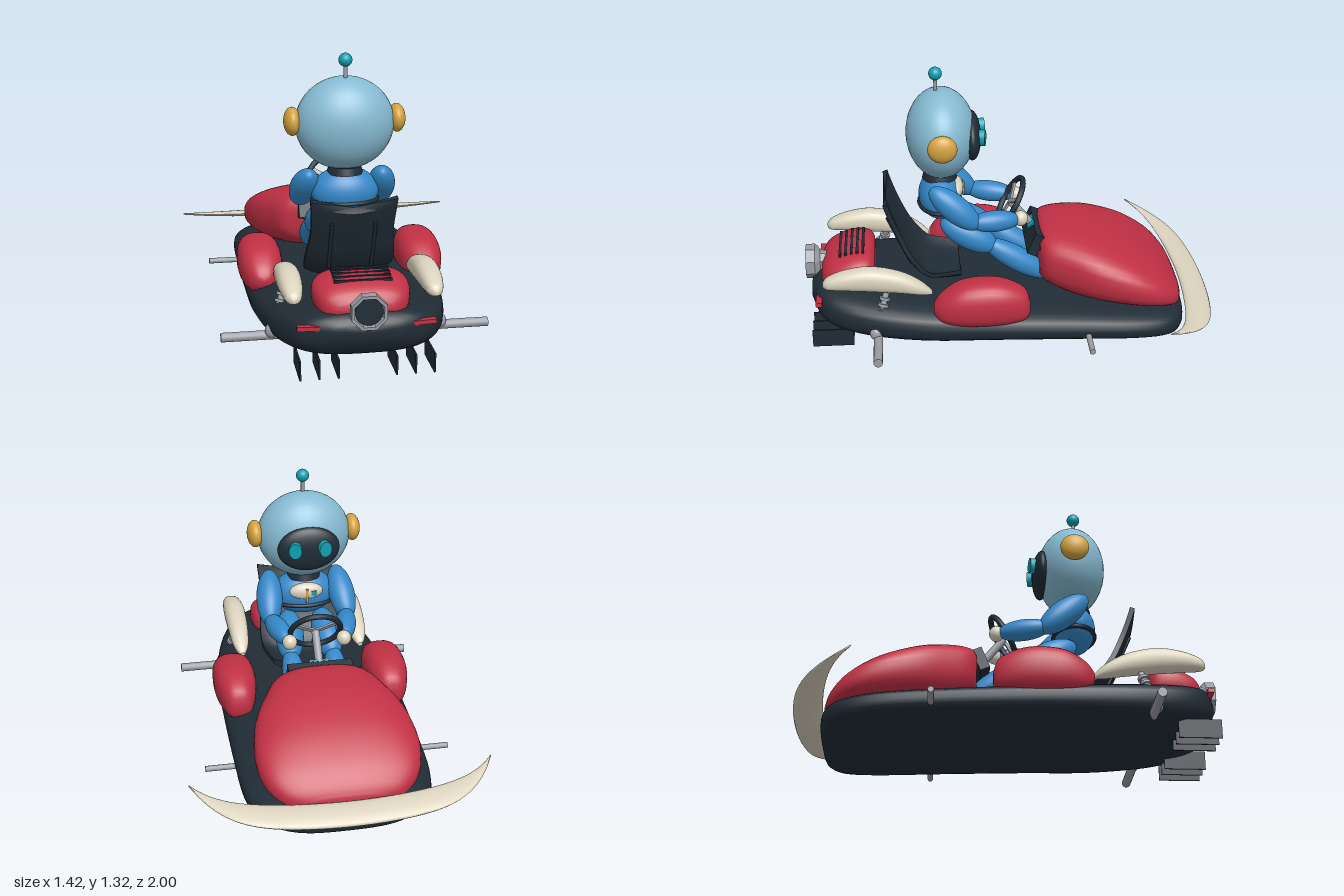
import * as THREE from 'three';
import { toCreasedNormals } from 'three/addons/utils/BufferGeometryUtils.js';

const mat = (name, color) => {
  const m = new THREE.MeshStandardMaterial({ color });
  m.name = name;
  return m;
};
const V = (x, y, z) => new THREE.Vector3(x, y, z);

// Closed skin over a row of rings, each counter-clockwise about the direction of travel
function skin(rings, crease = 0.75) {
  const n = rings[0].length, pos = [], idx = [];
  rings.forEach(r => r.forEach(p => pos.push(p.x, p.y, p.z)));
  for (let i = 0; i < rings.length - 1; i++) for (let j = 0; j < n; j++) {
    const a = i * n + j, b = i * n + (j + 1) % n;
    idx.push(a, b, a + n, b, b + n, a + n);
  }
  [0, rings.length - 1].forEach((k, end) => {
    const c = rings[k].reduce((s, p) => s.add(p), V(0, 0, 0)).divideScalar(n);
    const ci = pos.length / 3;
    pos.push(c.x, c.y, c.z);
    for (let j = 0; j < n; j++) {
      const a = k * n + j, b = k * n + (j + 1) % n;
      if (end) idx.push(ci, a, b); else idx.push(ci, b, a);
    }
  });
  const g = new THREE.BufferGeometry();
  g.setAttribute('position', new THREE.Float32BufferAttribute(pos, 3));
  g.setIndex(idx);
  return toCreasedNormals(g, crease);
}

// Smoothly interpolate rows of numbers
function resample(rows, steps) {
  const out = [];
  const at = i => rows[Math.min(Math.max(i, 0), rows.length - 1)];
  for (let i = 0; i < rows.length - 1; i++) for (let s = 0; s < steps; s++) {
    const t = s / steps;
    out.push(rows[i].map((p1, k) => {
      const p0 = at(i - 1)[k], p2 = at(i + 1)[k], p3 = at(i + 2)[k];
      const m1 = (p2 - p0) / 2, m2 = (p3 - p1) / 2;
      return p1 + m1 * t + (3 * (p2 - p1) - 2 * m1 - m2) * t * t + (2 * (p1 - p2) + m1 + m2) * t * t * t;
    }));
  }
  out.push(at(rows.length - 1));
  return out;
}

// Body along z from rows of [z, half width, bottom, top]; e sets how square the section is
function body(rows, e = 2.6, seg = 40) {
  const pw = v => Math.sign(v) * Math.pow(Math.abs(v), 2 / e);
  return skin(resample(rows, 4).map(([z, w, y0, y1]) => Array.from({ length: seg }, (_, j) => {
    const a = j / seg * Math.PI * 2;
    return V(w * pw(Math.cos(a)), (y0 + y1) / 2 + (y1 - y0) / 2 * pw(Math.sin(a)), z);
  })));
}

export function createModel() {
  const root = new THREE.Group();
  root.name = 'kartWithRobot';
  const red = mat('red', 0xc03044), dark = mat('dark', 0x202c36), cream = mat('cream', 0xdbd3be),
    pale = mat('paleBlue', 0x86bad2), blue = mat('blue', 0x3488c8), gold = mat('gold', 0xd6a340),
    teal = mat('teal', 0x0fa0b0), grey = mat('grey', 0x9a9da5);

  const add = (name, geo, m, x = 0, y = 0, z = 0) => {
    const mesh = new THREE.Mesh(geo, m);
    mesh.name = name;
    mesh.position.set(x, y, z);
    root.add(mesh);
    return mesh;
  };
  const ball = (name, m, p, r) => {
    const b = add(name, new THREE.SphereGeometry(1, 32, 20), m, ...p);
    b.scale.set(...r);
    return b;
  };
  const between = (mesh, a, b) => {
    mesh.position.copy(a).lerp(b, 0.5);
    mesh.quaternion.setFromUnitVectors(V(0, 1, 0), b.clone().sub(a).normalize());
    return mesh;
  };
  const rod = (name, m, a, b, r, r2 = r, n = 14) =>
    between(add(name, new THREE.CylinderGeometry(r2, r, a.distanceTo(b), n), m), a, b);
  const limb = (name, m, a, b, r) =>
    between(ball(name, m, [0, 0, 0], [r, a.distanceTo(b) / 2, r]), a, b);

  // Hull, bonnet and engine cover
  add('hull', body([
    [-0.86, 0.22, 0.03, 0.13], [-0.84, 0.3, 0.012, 0.155], [-0.77, 0.4, 0.01, 0.175], [-0.6, 0.45, 0.018, 0.2],
    [-0.3, 0.46, 0.03, 0.225], [0.1, 0.46, 0.04, 0.25], [0.4, 0.45, 0.04, 0.27], [0.65, 0.41, 0.05, 0.29],
    [0.82, 0.35, 0.07, 0.305], [0.92, 0.27, 0.11, 0.3], [0.97, 0.14, 0.18, 0.26]], 2.8), dark);
  add('bonnet', body([
    [-0.85, 0.18, 0.13, 0.2], [-0.82, 0.28, 0.13, 0.25], [-0.74, 0.36, 0.14, 0.33], [-0.6, 0.39, 0.15, 0.42],
    [-0.42, 0.365, 0.17, 0.49], [-0.27, 0.3, 0.2, 0.52], [-0.18, 0.25, 0.24, 0.515], [-0.15, 0.2, 0.27, 0.49]], 2.7), red);
  add('engineCover', body([
    [0.66, 0.17, 0.25, 0.4], [0.69, 0.21, 0.24, 0.43], [0.78, 0.22, 0.24, 0.43],
    [0.88, 0.19, 0.24, 0.39], [0.92, 0.13, 0.25, 0.34]], 2.8), red);
  for (let i = 0; i < 5; i++)
    add('ventSlat', new THREE.BoxGeometry(0.26, 0.012, 0.013), dark, 0, 0.432 - i * i * 0.0012, 0.715 + i * 0.028);

  // Curved bumper: slim sections swept along x
  const bumper = [];
  for (let i = 0; i <= 40; i++) {
    const u = i / 20 - 1, k = u * u;
    const outer = -1 + 0.1 * k + 0.19 * Math.pow(k, 3);
    const inner = outer + 0.005 + 0.13 * (1 - Math.pow(k, 2.5));
    const lift = 0.025 * k * k;
    bumper.push(Array.from({ length: 16 }, (_, j) => {
      const a = j / 16 * Math.PI * 2, z = (outer + inner) / 2 - (outer - inner) / 2 * Math.sin(a);
      return V(u * 0.71, 0.15 + lift + (z + 1) * 0.27 + (0.004 + 0.02 * (1 - k)) * Math.cos(a), z);
    }));
  }
  add('bumper', skin(bumper, 1.2), cream);

  // Exhaust
  const pipe = [[0.04, -0.14], [0.055, -0.05], [0.07, -0.04], [0.085, -0.025], [0.085, 0.02], [0.07, 0.02], [0.062, -0.02]];
  const exhaust = add('exhaust', toCreasedNormals(new THREE.LatheGeometry(
    pipe.map(p => new THREE.Vector2(...p)), 8), 0.3), grey, 0, 0.325, 0.98);
  exhaust.rotation.set(Math.PI / 2, Math.PI / 8, 0, 'XYZ');
  rod('exhaustBore', dark, V(0, 0.325, 0.94), V(0, 0.325, 0.985), 0.066, 0.066, 8);

  // Seat: bent sheet with forward wings and raised corners
  const seatRows = resample([[0.24, 0.28, 0.17], [0.4, 0.3, 0.2], [0.49, 0.4, 0.2], [0.55, 0.53, 0.18], [0.597, 0.65, 0.185]], 4);
  const seat = seatRows.map(([z, y, w], i) => {
    const p = seatRows[Math.max(i - 1, 0)], q = seatRows[Math.min(i + 1, seatRows.length - 1)];
    const T = V(0, q[1] - p[1], q[0] - p[0]).normalize(), N = V(0, T.z, -T.y);
    const t = i / (seatRows.length - 1);
    const at = (u, d) => V(u * (w + 0.015 * t), y, z).addScaledVector(N, d + 0.045 * u ** 4 * (1 - t))
      .add(V(0, 0.065 * u * u * t ** 4, 0));
    const us = Array.from({ length: 13 }, (_, j) => j / 6 - 1);
    return [...us.map(u => at(u, -0.012)), ...us.reverse().map(u => at(u, 0.012))];
  });
  add('seat', skin(seat, 0.6), dark);
  for (const x of [-0.1, 0.1]) rod('seatRib', dark, V(x, 0.35, 0.48), V(x, 0.6, 0.59), 0.009);

  // Steering wheel, column and dashboard
  const wheel = new THREE.Group();
  wheel.name = 'steeringWheel';
  wheel.position.set(0, 0.62, -0.015);
  wheel.rotation.x = -0.52;
  const rim = new THREE.Mesh(new THREE.TorusGeometry(0.125, 0.014, 10, 36), dark);
  rim.name = 'wheelRim';
  wheel.add(rim);
  for (const a of [0, 2.1, -2.1]) {
    const spoke = new THREE.Mesh(new THREE.BoxGeometry(0.02, 0.125, 0.012), grey);
    spoke.name = 'wheelSpoke';
    spoke.position.set(Math.sin(a) * 0.0625, -Math.cos(a) * 0.0625, 0);
    spoke.rotation.z = a;
    wheel.add(spoke);
  }
  root.add(wheel);
  rod('steeringColumn', grey, V(0, 0.62, -0.015), V(0, 0.48, -0.13), 0.02);
  const dash = add('dashboard', new THREE.BoxGeometry(0.32, 0.11, 0.05), dark, 0, 0.45, -0.13);
  dash.rotation.x = -0.4;
  const screen = add('dashScreen', new THREE.BoxGeometry(0.1, 0.04, 0.008), teal, 0, 0.505, -0.115);
  screen.rotation.x = -0.9;

  // Robot head and body
  ball('head', pale, [0, 1, 0.32], [0.232, 0.22, 0.168]);
  ball('visor', dark, [0, 0.98, 0.172], [0.155, 0.115, 0.045]);
  rod('antennaRod', grey, V(0, 1.2, 0.34), V(0, 1.28, 0.34), 0.009);
  ball('antennaBall', teal, [0, 1.3, 0.34], [0.032, 0.032, 0.032]);
  ball('torso', blue, [0, 0.675, 0.33], [0.16, 0.115, 0.105]);
  rod('neck', dark, V(0, 0.765, 0.33), V(0, 0.8, 0.33), 0.085, 0.075, 28);
  const belt = add('belt', new THREE.TorusGeometry(0.1, 0.01, 8, 36), dark, 0, 0.635, 0.33);
  belt.rotation.x = Math.PI / 2;
  belt.scale.set(1.5, 1.02, 1);
  ball('chestPlate', cream, [0, 0.71, 0.25], [0.085, 0.045, 0.035]);
  add('chestStripe', new THREE.BoxGeometry(0.012, 0.07, 0.008), gold, 0, 0.7, 0.214);
  add('chestLight', new THREE.BoxGeometry(0.024, 0.024, 0.008), teal, -0.035, 0.71, 0.219);

  for (const s of [-1, 1]) {
    // Robot pairs
    const eye = add('eye', new THREE.CylinderGeometry(0.032, 0.032, 0.03, 24), teal, s * 0.073, 0.995, 0.124);
    eye.rotation.set(Math.PI / 2, 0, s * 0.2);
    eye.scale.z = 1.25;
    ball('ear', gold, [s * 0.245, 1.015, 0.32], [0.04, 0.067, 0.07]);
    limb('upperArm', blue, V(s * 0.17, 0.78, 0.38), V(s * 0.2, 0.58, 0.15), 0.066);
    limb('forearm', blue, V(s * 0.2, 0.605, 0.2), V(s * 0.14, 0.59, -0.05), 0.052);
    ball('hand', cream, [s * 0.135, 0.59, -0.055], [0.036, 0.038, 0.036]);
    limb('thigh', blue, V(s * 0.08, 0.565, 0.33), V(s * 0.11, 0.42, 0.06), 0.072);
    limb('shin', blue, V(s * 0.11, 0.46, 0.12), V(s * 0.1, 0.25, -0.2), 0.06);

    // Side pod and rear fender
    add('sidePod', body([[-0.08, 0.03, 0.22, 0.28], [-0.055, 0.065, 0.185, 0.34], [0.03, 0.095, 0.17, 0.385],
      [0.13, 0.106, 0.165, 0.4], [0.25, 0.1, 0.17, 0.385], [0.34, 0.07, 0.19, 0.33], [0.38, 0.03, 0.23, 0.28]], 2.5, 28),
      red, s * 0.39);
    add('rearFender', body([[0.385, 0.012, 0.29, 0.31], [0.44, 0.038, 0.295, 0.36], [0.54, 0.05, 0.31, 0.415],
      [0.68, 0.055, 0.325, 0.445], [0.8, 0.05, 0.335, 0.43], [0.88, 0.035, 0.34, 0.4], [0.905, 0.012, 0.35, 0.375]], 2.4, 24),
      cream, s * 0.315);

    // Axles and suspension
    rod('rearAxle', grey, V(s * 0.3, 0.105, 0.65), V(s * 0.62, 0.105, 0.65), 0.022);
    rod('frontAxle', grey, V(s * 0.35, 0.105, -0.36), V(s * 0.6, 0.105, -0.36), 0.014);
    const low = V(s * 0.39, 0.12, 0.66), high = V(s * 0.32, 0.33, 0.6);
    rod('strut', grey, low, high, 0.015);
    for (let i = 0; i < 5; i++) {
      const p = low.clone().lerp(high, 0.2 + i * 0.14), q = low.clone().lerp(high, 0.26 + i * 0.14);
      rod('springCoil', grey, p, q, 0.026);
    }
    ball('hub', grey, [s * 0.39, 0.13, 0.66], [0.03, 0.035, 0.03]);

    // Tail light and diffuser fins
    const light = add('tailLight', new THREE.BoxGeometry(0.11, 0.02, 0.03), red, s * 0.255, 0.245, 0.93);
    light.rotation.z = s * 0.05;
    for (const x of [0.13, 0.215, 0.3])
      add('diffuserFin', new THREE.BoxGeometry(0.008, 0.09, 0.2), dark, s * x, 0.06, 0.87);
  }
  return root;
}
